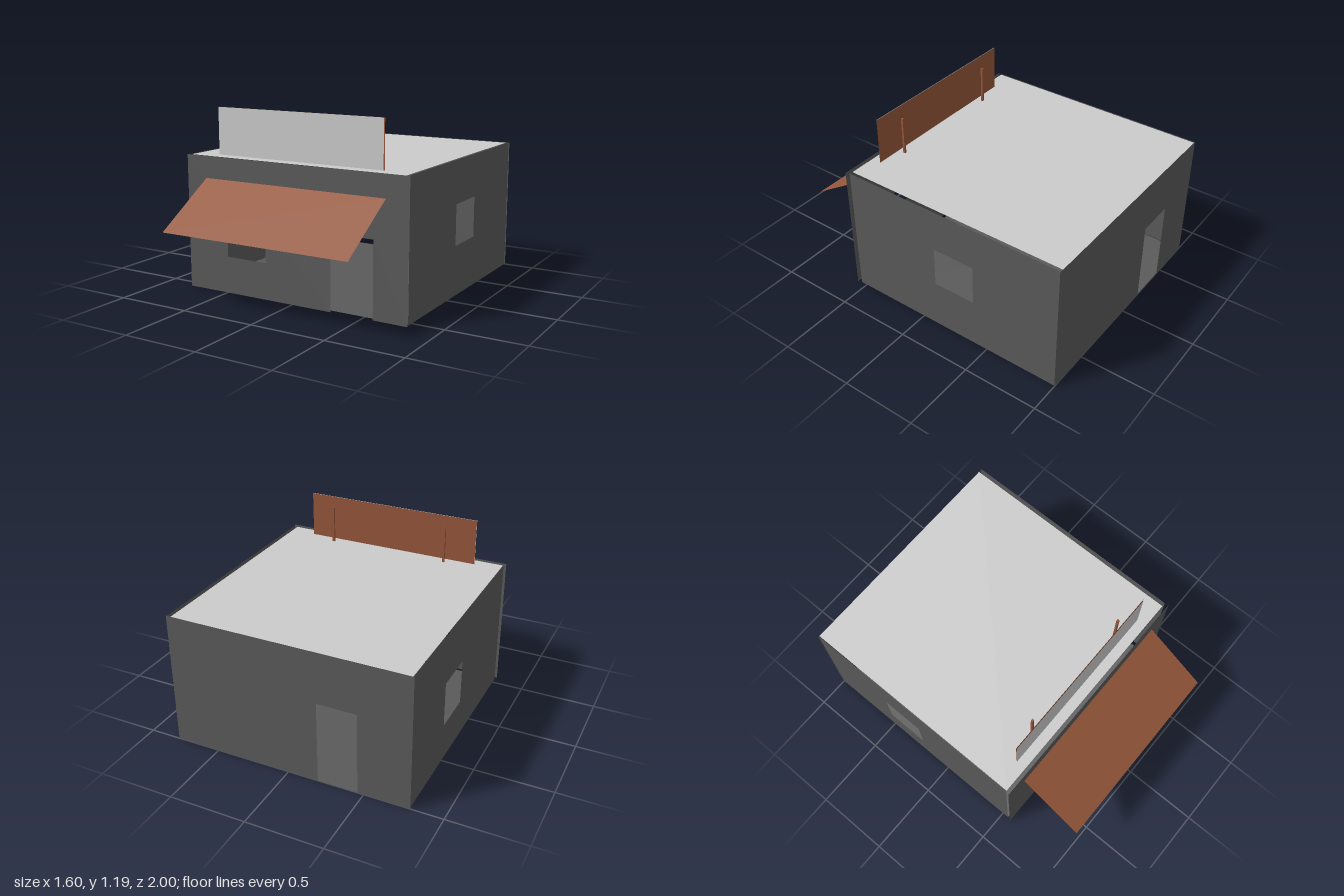
import * as THREE from 'three';

const mat = (color) => new THREE.MeshStandardMaterial({ color, side: THREE.DoubleSide });

export function createModel() {
  const group = new THREE.Group();
  const wallMat = mat(0x5a5a5a), brown = mat(0x95563a), grey = mat(0xcccccc);

  const add = (name, geometry, material) => {
    const mesh = new THREE.Mesh(geometry, material);
    mesh.name = name;
    group.add(mesh);
    return mesh;
  };

  // Upright sheet from u0..u1, y0..y1 with one rectangular opening
  const rect = (target, [u0, u1, y0, y1]) => {
    target.moveTo(u0, y0);
    target.lineTo(u1, y0);
    target.lineTo(u1, y1);
    target.lineTo(u0, y1);
    target.closePath();
    return target;
  };
  const sheet = (outer, hole) => {
    const shape = rect(new THREE.Shape(), outer);
    if (hole) shape.holes.push(rect(new THREE.Path(), hole));
    return new THREE.ShapeGeometry(shape);
  };

  const H = 0.883, front = 0.57, sideFront = 0.545;

  // Front wall: window opening plus a doorway notched into the lower edge
  const frontShape = new THREE.Shape();
  [[-0.8, 0], [0.28, 0], [0.28, 0.49], [0.57, 0.49], [0.57, 0], [0.8, 0], [0.8, H], [-0.8, H]]
    .forEach(([x, y], i) => (i ? frontShape.lineTo(x, y) : frontShape.moveTo(x, y)));
  frontShape.holes.push(rect(new THREE.Path(), [-0.49, -0.195, 0.24, 0.51]));
  add('frontWall', new THREE.ShapeGeometry(frontShape), wallMat).position.z = front;

  // Back wall with its doorway, turned to face outwards
  const backShape = new THREE.Shape();
  [[-0.795, 0], [0.2, 0], [0.2, 0.545], [0.46, 0.545], [0.46, 0], [0.795, 0], [0.795, H], [-0.795, H]]
    .forEach(([x, y], i) => (i ? backShape.lineTo(x, y) : backShape.moveTo(x, y)));
  add('backWall', new THREE.ShapeGeometry(backShape).rotateY(Math.PI), wallMat).position.z = -1;

  // Side walls with windows
  add('leftWall', sheet([-sideFront, 1, 0, H], [0.11, 0.4, 0.33, 0.6])
    .rotateY(Math.PI / 2), wallMat).position.x = 0.79;
  add('rightWall', sheet([-1, sideFront, 0, H], [-0.485, -0.2, 0.25, 0.545])
    .rotateY(-Math.PI / 2), wallMat).position.x = -0.79;

  // Roof and floor
  const slab = () => new THREE.PlaneGeometry(1.55, 1.545);
  add('roof', slab().rotateX(-Math.PI / 2), grey).position.set(-0.01, 0.88, -0.2275);
  add('floor', slab().rotateX(Math.PI / 2), wallMat).position.set(-0.01, 0.002, -0.2275);

  // Sloping awning over the front
  const drop = 0.27, reach = 0.43;
  const awning = add('awning', new THREE.PlaneGeometry(1.3, Math.hypot(drop, reach)), brown);
  awning.position.set(0, 0.605, 0.785);
  awning.rotation.x = -Math.atan2(reach, drop);

  // Roof sign: grey face, brown backing and two posts
  add('signFace', new THREE.PlaneGeometry(1.195, 0.307), grey).position.set(-0.0125, 1.0365, 0.48);
  add('signBacking', new THREE.PlaneGeometry(1.2, 0.307).rotateY(Math.PI), brown).position.set(-0.01, 1.0365, 0.475);
  for (const side of [-1, 1]) {
    add('signPost', new THREE.BoxGeometry(0.014, 0.25, 0.014), brown).position.set(side * 0.408, 1.005, 0.43);
  }
  return group;
}
